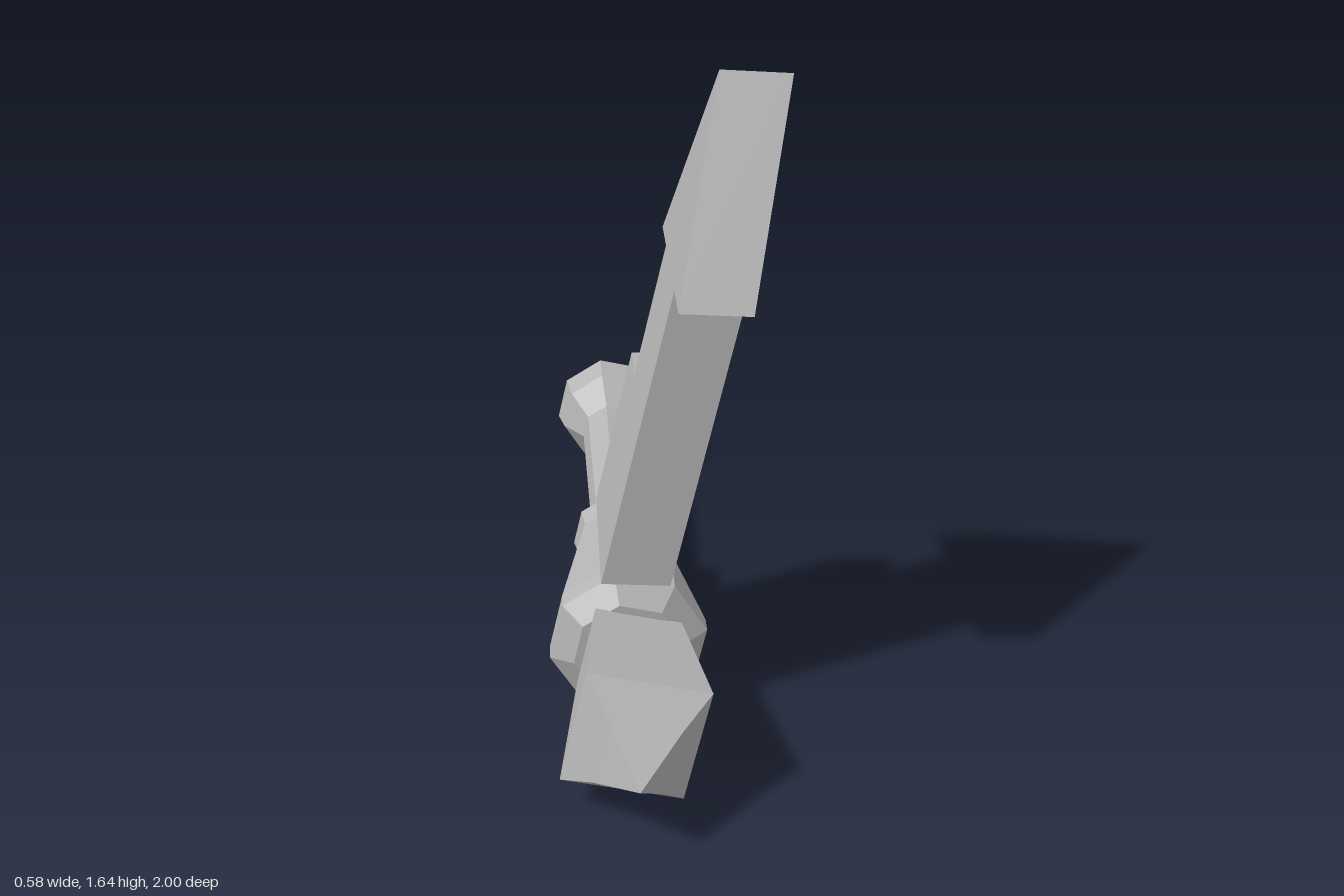
import * as THREE from 'three';

const TILT = -0.226; // roll of the whole tool about its long axis

export function createModel() {
  const group = new THREE.Group();
  const grey = new THREE.MeshStandardMaterial({ color: 0xb4b4b4, flatShading: true });
  grey.name = 'plain grey';

  const add = (name, geometry) => {
    const flat = geometry.index ? geometry.toNonIndexed() : geometry;
    flat.computeVertexNormals();
    const mesh = new THREE.Mesh(flat, grey);
    mesh.name = name;
    group.add(mesh);
  };

  // Faceted turning along z; profile entries are [radius, z] from back to front
  const turned = (name, sides, profile) => {
    const points = profile.map(([r, z]) => new THREE.Vector2(r, z));
    const g = new THREE.LatheGeometry(points, sides, Math.PI / 2 + Math.PI / sides);
    g.rotateX(Math.PI / 2).rotateZ(TILT).translate(-0.0925, 0.2, 0);
    add(name, g);
  };

  // Hollow flared pommel
  turned('pommel', 8, [[0, -0.88], [0.165, -1], [0.148, -0.92], [0.088, -0.82]]);

  // Slim grip
  turned('grip', 8, [[0.088, -0.82], [0.077, -0.21]]);

  // Collar and swelling barrel
  turned('collar', 8, [[0.077, -0.21], [0.129, -0.165], [0.119, -0.105]]);
  turned('barrel', 8, [[0.119, -0.105], [0.2, 0.345], [0.2, 0.395], [0.14, 0.44], [0, 0.44]]);

  // Square head with a stepped point
  turned('spikeHead', 4, [[0, 0.435], [0.154, 0.435], [0.21, 0.79], [0.12, 0.87], [0, 1]]);

  // Arrow-shaped blade: outline as [z, height above its base]
  const outline = [
    [0, 0], [0.442, 0], [0.442, 0.762], [0.58, 0.762], [0.297, 1.237],
    [0.005, 0.762], [0.14, 0.762], [0.14, 0.42], [0, 0.42],
  ];
  const shape = new THREE.Shape(outline.map(([z, h]) => new THREE.Vector2(-z, h)));
  const blade = new THREE.ExtrudeGeometry(shape, { depth: 1, bevelEnabled: false });
  // Lean the blade sideways and give it its slightly slanted thickness
  blade.applyMatrix4(new THREE.Matrix4().set(
    0, 0.2304, 0.169, -0.16,
    0, 1, -0.011, 0.403,
    -1, 0, 0, 0,
    0, 0, 0, 1,
  ));
  add('arrowBlade', blade);

  return group;
}
